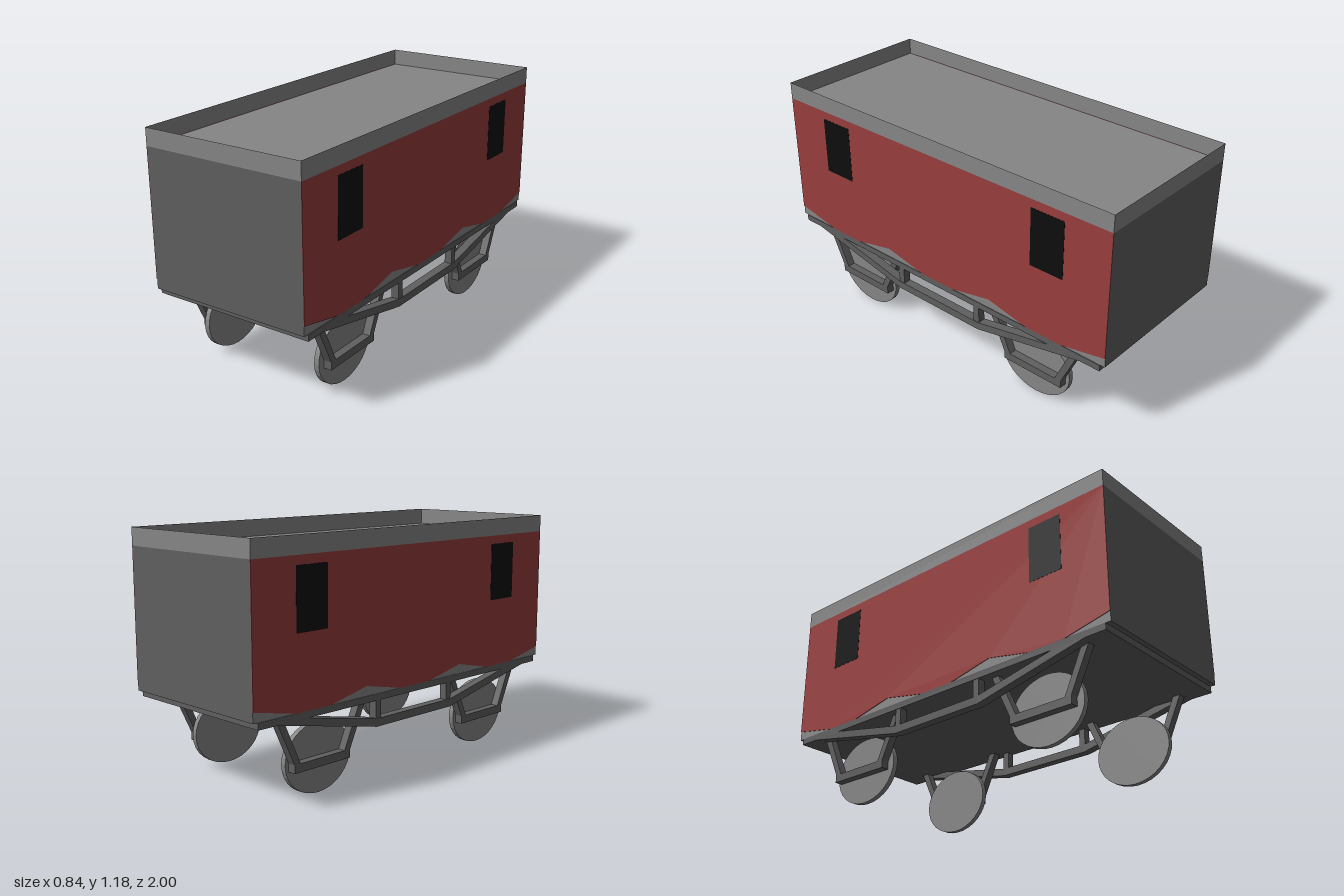
import * as THREE from 'three';

export function createModel() {
  const mat = (name, color, side = THREE.FrontSide) => {
    const m = new THREE.MeshStandardMaterial({ color, side, flatShading: true });
    m.name = name;
    return m;
  };
  const lightGrey = mat('light grey', 0x868686, THREE.DoubleSide);
  const darkGrey = mat('dark grey', 0x5f5f5f);
  const red = mat('red', 0x993d3d);
  const black = mat('black', 0x0d0d0d);

  const wagon = new THREE.Group();
  wagon.name = 'wagon';

  const add = (name, geometry, material, parent = wagon) => {
    const mesh = new THREE.Mesh(geometry, material);
    mesh.name = name;
    parent.add(mesh);
    return mesh;
  };
  // Box given by its limits
  const box = (x0, x1, y0, y1, z0, z1) =>
    new THREE.BoxGeometry(x1 - x0, y1 - y0, z1 - z0)
      .translate((x0 + x1) / 2, (y0 + y1) / 2, (z0 + z1) / 2);
  // Outline of [z, y] points, extruded from x0 to x1
  const profile = (points, x0, x1) => {
    const shape = new THREE.Shape(points.map(([z, y]) => new THREE.Vector2(-z, y)));
    return new THREE.ExtrudeGeometry(shape, { depth: x1 - x0, bevelEnabled: false })
      .rotateY(Math.PI / 2).translate(x0, 0, 0);
  };

  const W = 0.42, floorY = 0.42, roofY = 1.095, topY = 1.18;

  // Body: grey sides and roof, dark ends and underside
  add('body', box(-W + 0.003, W - 0.003, floorY, roofY, -1, 1),
    [lightGrey, lightGrey, lightGrey, darkGrey, darkGrey, darkGrey]);
  // Underframe plate
  add('underframe', box(-W, W, 0.388, floorY, -0.975, 0.975), darkGrey);

  // Open rim around the sunken roof
  const rim = new THREE.Group();
  rim.name = 'roofRim';
  wagon.add(rim);
  const h = topY - roofY, midY = (topY + roofY) / 2;
  for (const s of [-1, 1]) {
    add('rimEnd', new THREE.PlaneGeometry(2 * W, h)
      .rotateY(s > 0 ? 0 : Math.PI).translate(0, midY, s), lightGrey, rim);
    add('rimSide', new THREE.PlaneGeometry(2, h)
      .rotateY(s * Math.PI / 2).translate(s * W, midY, 0), lightGrey, rim);
  }

  // Red side panel with a wavy lower edge
  const panel = [
    [1, roofY], [1, 0.468], [0.76, floorY], [0.56, floorY], [0.333, 0.468],
    [0.1, floorY], [-0.1, floorY], [-0.333, 0.468], [-0.56, floorY],
    [-0.76, floorY], [-1, 0.468], [-1, roofY],
  ];
  // Truss rod below the frame
  const truss = [
    [0.87, 0.388], [0.265, 0.263], [-0.265, 0.263], [-0.87, 0.388],
    [-0.69, 0.388], [-0.265, 0.302], [0.265, 0.302], [0.69, 0.388],
  ];
  // Wheel hanger: two slanted arms joined by a foot
  const hanger = [
    [0.27, 0.388], [0.17, 0.175], [0.17, 0.135], [-0.17, 0.135], [-0.17, 0.175],
    [-0.27, 0.388], [-0.232, 0.388], [-0.135, 0.175], [0.135, 0.175], [0.232, 0.388],
  ];

  for (const s of [-1, 1]) {
    const side = new THREE.Group();
    side.name = s > 0 ? 'leftSide' : 'rightSide';
    wagon.add(side);
    // Extrude limits on this side
    const span = (a, b) => (s > 0 ? [a, b] : [-b, -a]);

    add('sidePanel', profile(panel, ...span(W - 0.003, W)), red, side);
    add('trussRod', profile(truss, ...span(0.375, W)), darkGrey, side);

    for (const e of [-1, 1]) {
      const [x0, x1] = span(W - 0.002, W + 0.001);
      add('window', box(x0, x1, 0.765, 1.053, e * 0.667 - 0.091, e * 0.667 + 0.091), black, side);
      const [p0, p1] = span(0.378, W - 0.003);
      add('trussPost', box(p0, p1, 0.295, 0.39, e * 0.253 - 0.017, e * 0.253 + 0.017), darkGrey, side);

      const hangerGeometry = profile(hanger, ...span(0.336, 0.376));
      add('wheelHanger', hangerGeometry.translate(0, 0, 0.009 + e * 0.576), darkGrey, side);

      // Slightly flattened disc wheel
      add('wheel', new THREE.CylinderGeometry(0.2, 0.2, 0.026, 32)
        .rotateZ(Math.PI / 2).scale(1, 0.835, 1)
        .translate(s * 0.323, 0.167, 0.018 + e * 0.576), lightGrey, side);
    }
  }
  return wagon;
}
